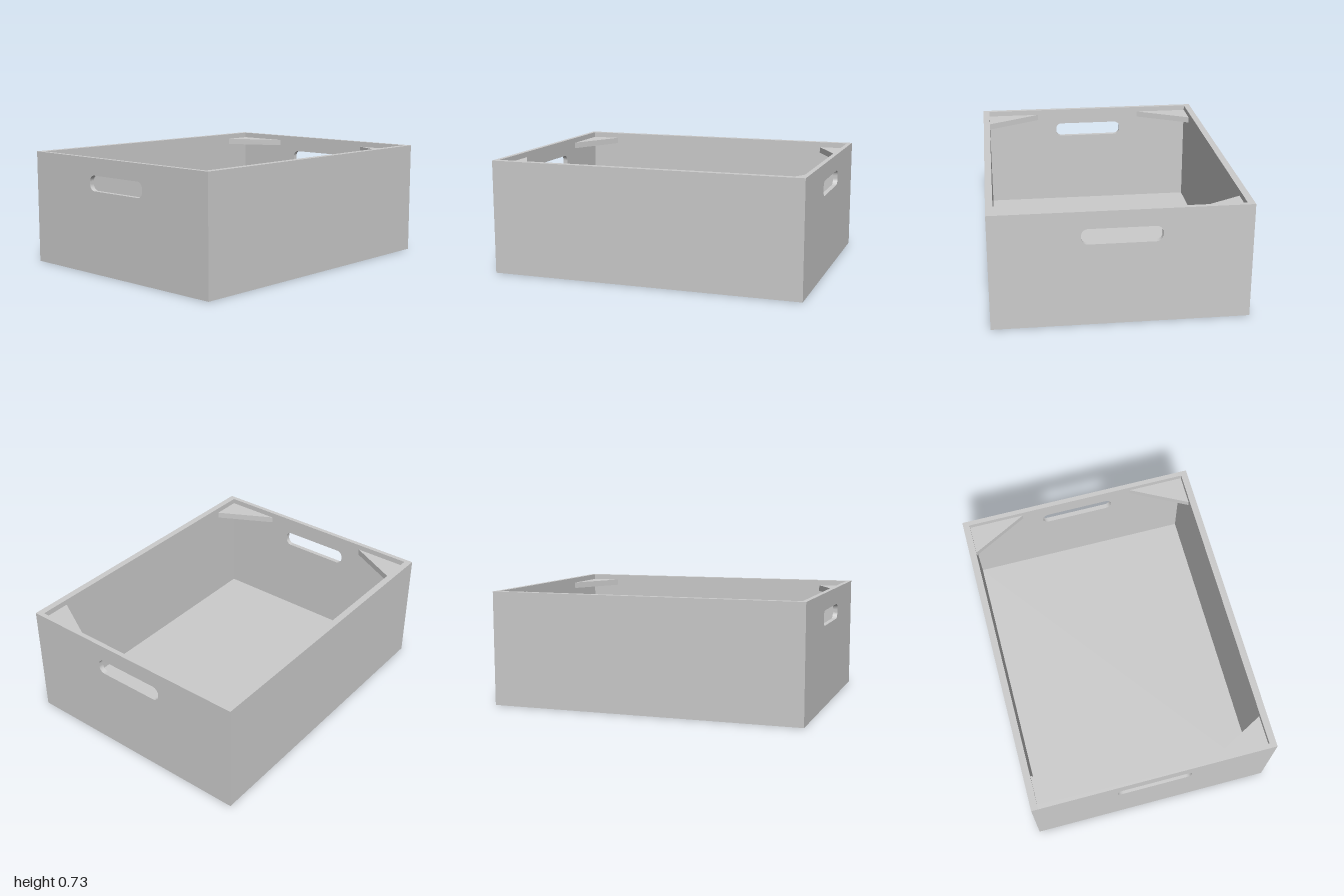
import * as THREE from 'three';

// Open crate: plain long walls, end walls with grip slots, corner braces.
const HX = 0.996, HZ = 0.775, H = 0.725; // half length, half depth, height
const END_T = 0.03, SIDE_T = 0.043, FLOOR_T = 0.016;
const IX = HX - END_T, IZ = HZ - SIDE_T; // inner half sizes

export function createModel() {
  const crate = new THREE.Group();
  crate.name = 'crate';
  const material = new THREE.MeshStandardMaterial({ color: 0xcccccc, flatShading: true });

  function add(name, geometry, x, y, z) {
    const mesh = new THREE.Mesh(geometry, material);
    mesh.name = name;
    mesh.position.set(x, y, z);
    crate.add(mesh);
    return mesh;
  }

  // Floor panel, set between the walls
  add('floor', new THREE.BoxGeometry(2 * IX, FLOOR_T, 2 * IZ), 0, FLOOR_T / 2, 0);

  // Front and back walls
  for (const s of [1, -1]) {
    add(s > 0 ? 'frontWall' : 'backWall',
      new THREE.BoxGeometry(2 * HX, H, SIDE_T), 0, H / 2, s * (HZ - SIDE_T / 2));
  }

  // End walls with a rounded grip slot
  const wall = new THREE.Shape();
  wall.moveTo(-IZ, 0).lineTo(IZ, 0).lineTo(IZ, H).lineTo(-IZ, H).closePath();
  wall.holes.push(slot(0.238, 0.52, 0.617, 0.04));
  const endGeometry = new THREE.ExtrudeGeometry(wall, { depth: END_T, bevelEnabled: false, curveSegments: 5 });
  endGeometry.translate(0, 0, -END_T / 2).rotateY(-Math.PI / 2);
  for (const s of [1, -1]) {
    add(s > 0 ? 'leftEndWall' : 'rightEndWall', endGeometry, s * (HX - END_T / 2), 0, 0);
  }

  // Triangular braces in the four corners, just below the rim
  const braceTop = H - 0.035, braceT = 0.04;
  for (const sx of [1, -1]) {
    for (const sz of [1, -1]) {
      const tri = new THREE.Shape([
        new THREE.Vector2(0, 0),
        new THREE.Vector2(-sx * 0.19, 0),
        new THREE.Vector2(0, -sz * 0.36),
      ]);
      const geometry = new THREE.ExtrudeGeometry(tri, { depth: braceT, bevelEnabled: false });
      geometry.rotateX(Math.PI / 2); // shape y becomes z, depth runs down
      add((sz > 0 ? 'front' : 'back') + (sx > 0 ? 'Left' : 'Right') + 'CornerBrace',
        geometry, sx * IX, braceTop, sz * IZ);
    }
  }

  // The whole crate sits very slightly turned
  crate.rotation.y = -0.005;
  const group = new THREE.Group();
  group.add(crate);
  return group;
}

// Rounded slot outline, centred sideways
function slot(w, y0, y1, r) {
  const p = new THREE.Path();
  p.moveTo(-w + r, y0);
  p.lineTo(w - r, y0);
  p.absarc(w - r, y0 + r, r, -Math.PI / 2, 0);
  p.lineTo(w, y1 - r);
  p.absarc(w - r, y1 - r, r, 0, Math.PI / 2);
  p.lineTo(-w + r, y1);
  p.absarc(-w + r, y1 - r, r, Math.PI / 2, Math.PI);
  p.lineTo(-w, y0 + r);
  p.absarc(-w + r, y0 + r, r, Math.PI, Math.PI * 1.5);
  return p;
}
